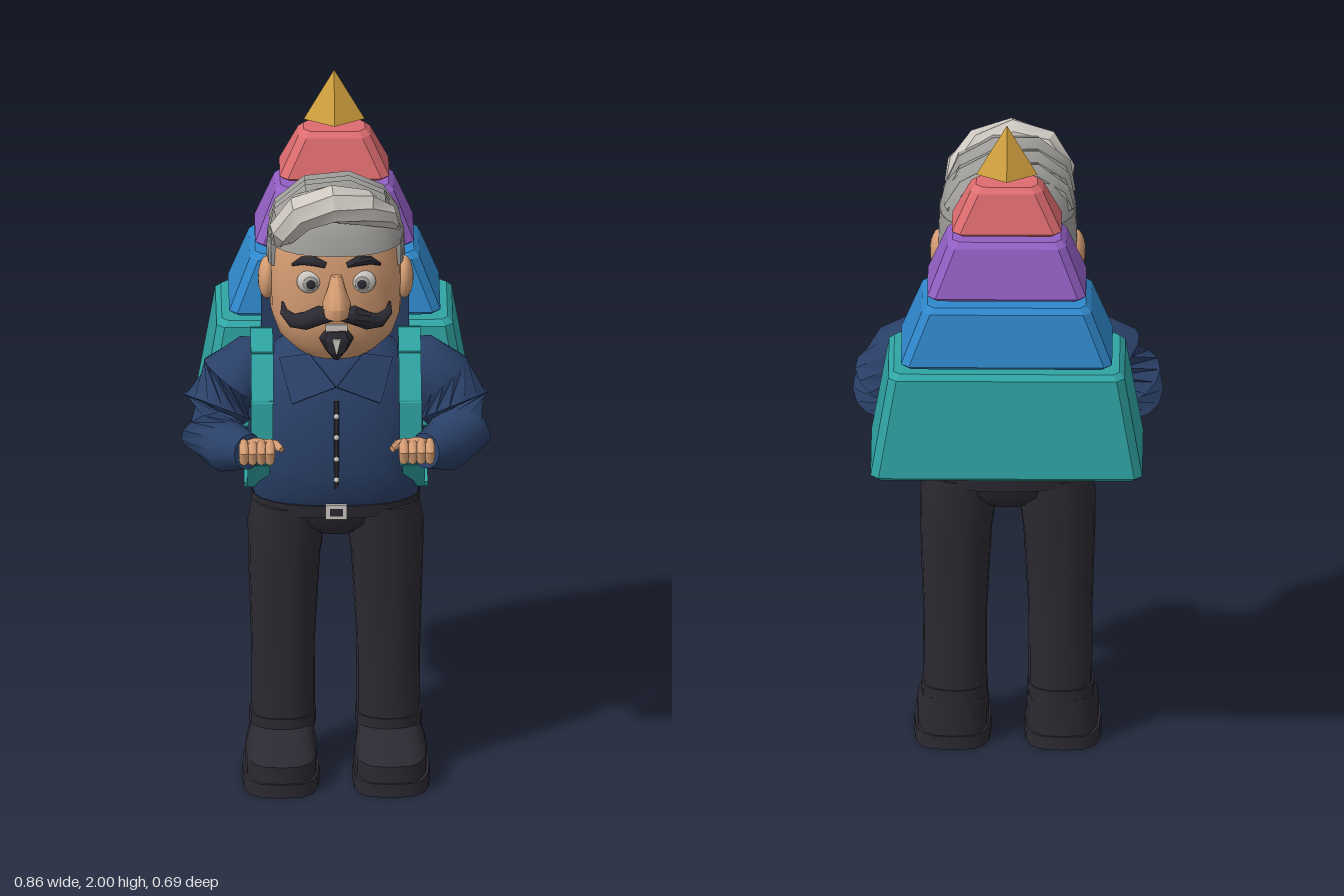
import * as THREE from 'three';
import { toCreasedNormals } from 'three/addons/utils/BufferGeometryUtils.js';

const mat = (name, color) => Object.assign(new THREE.MeshStandardMaterial({ color }), { name });
const M = {
  teal: mat('teal', 0x2fa5a4), blue: mat('blue', 0x2f88cc), purple: mat('purple', 0x925fc4),
  red: mat('coral', 0xdd6c70), gold: mat('gold', 0xd6a440), navy: mat('navy', 0x2a4068),
  dark: mat('charcoal', 0x2b2a32), skin: mat('skin', 0xd49c72),
  grey: mat('grey hair', 0x9c9b98), pale: mat('pale grey', 0xcdc7c0),
};
const V = (x, y, z) => new THREE.Vector3(x, y, z);
const FLAT = 0.15, SOFT = 0.9;

export function createModel() {
  const model = new THREE.Group();
  model.name = 'hikerWithPyramidPack';

  const add = (name, geo, material, x = 0, y = 0, z = 0) => {
    const mesh = new THREE.Mesh(geo, material);
    mesh.name = name;
    mesh.position.set(x, y, z);
    model.add(mesh);
    return mesh;
  };
  const box = (name, m, w, h, d, x, y, z) => add(name, new THREE.BoxGeometry(w, h, d), m, x, y, z);
  const ball = (name, m, rx, ry, rz, x, y, z) =>
    add(name, new THREE.SphereGeometry(1, 18, 12).scale(rx, ry, rz), m, x, y, z);

  // Joins rings of points into a capped skin
  const skin = (rings, crease = SOFT) => {
    const n = rings[0].length, pos = [], idx = [];
    rings.forEach(r => r.forEach(p => pos.push(p.x, p.y, p.z)));
    for (let i = 0; i < rings.length - 1; i++) {
      for (let j = 0; j < n; j++) {
        const a = i * n + j, b = i * n + (j + 1) % n, c = b + n, d = a + n;
        idx.push(a, d, c, a, c, b);
      }
    }
    [0, rings.length - 1].forEach(i => {
      const mid = rings[i].reduce((s, p) => s.add(p), V(0, 0, 0)).divideScalar(n);
      const k = pos.length / 3;
      pos.push(mid.x, mid.y, mid.z);
      for (let j = 0; j < n; j++) {
        const a = i * n + j, b = i * n + (j + 1) % n;
        if (i) idx.push(k, b, a); else idx.push(k, a, b);
      }
    });
    const g = new THREE.BufferGeometry();
    g.setAttribute('position', new THREE.Float32BufferAttribute(pos, 3));
    g.setIndex(idx);
    return toCreasedNormals(g, crease);
  };

  // Upright loft; each row is [y, halfX, halfZ, centreX, centreZ]
  const loft = (rows, { n = 24, p = 2.4, from = 0, to = Math.PI * 2, crease = SOFT } = {}) => {
    const open = to - from < 6.28;
    return skin(rows.map(([y, hx, hz, cx, cz]) => Array.from({ length: n }, (_, j) => {
      const a = from + (to - from) * j / (open ? n - 1 : n), c = Math.cos(a), s = Math.sin(a);
      return V(cx + hx * Math.sign(c) * Math.abs(c) ** (2 / p), y,
        cz + hz * Math.sign(s) * Math.abs(s) ** (2 / p));
    })), crease);
  };

  // Round sweep along points [x, y, z, radius]
  const limb = (pts, n = 12, crease = SOFT) => {
    const c = pts.map(q => V(q[0], q[1], q[2]));
    return skin(pts.map((q, i) => {
      const t = c[Math.min(i + 1, c.length - 1)].clone().sub(c[Math.max(i - 1, 0)]).normalize();
      const rot = new THREE.Quaternion().setFromUnitVectors(V(0, 1, 0), t);
      return Array.from({ length: n }, (_, j) => {
        const a = j / n * Math.PI * 2;
        return V(Math.cos(a) * q[3], 0, Math.sin(a) * q[3]).applyQuaternion(rot).add(c[i]);
      });
    }), crease);
  };
  const flip = (pts, s) => pts.map(([x, ...r]) => [x * s, ...r]);

  // Pyramid pack: bevelled tiers [name, material, y0, y1, x0, x1, z0, z1]
  const oct = (y, hx, hz, c) => [[hx, hz - c], [hx - c, hz], [c - hx, hz], [-hx, hz - c],
    [-hx, c - hz], [c - hx, -hz], [hx - c, -hz], [hx, c - hz]].map(([x, z]) => V(x, y, z - 0.175));
  [['tealTier', M.teal, 0.985, 1.3, 0.377, 0.328, 0.172, 0.152],
    ['blueTier', M.blue, 1.315, 1.49, 0.293, 0.235, 0.146, 0.122],
    ['purpleTier', M.purple, 1.51, 1.675, 0.22, 0.165, 0.116, 0.086],
    ['redTier', M.red, 1.695, 1.83, 0.152, 0.1, 0.086, 0.056],
  ].forEach(([name, m, y0, y1, x0, x1, z0, z1]) => add(name, skin([
    oct(y0, x0 - 0.01, z0 - 0.01, 0.02), oct(y0 + 0.01, x0, z0, 0.022),
    oct(y1 - 0.015, x1, z1, 0.022), oct(y1, x1 - 0.015, z1 - 0.015, 0.018)], FLAT), m));
  add('goldTip', toCreasedNormals(new THREE.ConeGeometry(1, 0.15, 4).scale(0.085, 1, 0.054), FLAT),
    M.gold, 0, 1.925, -0.175);
  box('packBoard', M.navy, 0.41, 0.45, 0.08, 0, 1.155, -0.06);

  // Shirt
  add('torso', loft([[0.84, 0.23, 0.125, 0, 0.085], [0.88, 0.24, 0.145, 0, 0.085],
    [0.96, 0.245, 0.162, 0, 0.083], [1.1, 0.24, 0.158, 0, 0.082], [1.22, 0.21, 0.13, 0, 0.08],
    [1.28, 0.17, 0.1, 0, 0.08], [1.32, 0.1, 0.07, 0, 0.075]]), M.navy);
  add('placket', limb([[0, 0.91, 0.23, 0.008], [0, 0.97, 0.242, 0.008], [0, 1.1, 0.238, 0.008],
    [0, 1.17, 0.22, 0.008]], 6), M.dark);
  [[0.94, 0.245], [1.005, 0.25], [1.07, 0.248], [1.13, 0.239]].forEach(([y, z]) =>
    ball('button', M.pale, 0.008, 0.008, 0.005, 0, y, z));

  // Trousers, belt and buckle
  add('hips', loft([[0.74, 0.07, 0.08, 0, 0.085], [0.78, 0.2, 0.11, 0, 0.085],
    [0.85, 0.228, 0.122, 0, 0.085]]), M.dark);
  add('belt', loft([[0.81, 0.234, 0.13, 0, 0.085], [0.848, 0.234, 0.135, 0, 0.085]]), M.dark);
  box('buckle', M.pale, 0.06, 0.042, 0.012, 0, 0.833, 0.22);
  box('buckleHole', M.dark, 0.036, 0.022, 0.008, 0, 0.833, 0.224);

  // Head and neck
  add('head', loft([[1.22, 0.085, 0.08, 0, 0.085], [1.27, 0.09, 0.085, 0, 0.085],
    [1.3, 0.12, 0.11, 0, 0.09], [1.34, 0.16, 0.138, 0, 0.088], [1.4, 0.181, 0.153, 0, 0.085],
    [1.5, 0.184, 0.155, 0, 0.085], [1.6, 0.18, 0.152, 0, 0.085], [1.7, 0.15, 0.13, 0, 0.08],
    [1.75, 0.08, 0.08, 0, 0.08]]), M.skin);
  add('nose', loft([[1.435, 0.015, 0.015, 0, 0.255], [1.45, 0.036, 0.045, 0, 0.262],
    [1.485, 0.04, 0.055, 0, 0.26], [1.52, 0.026, 0.04, 0, 0.25], [1.56, 0.014, 0.02, 0, 0.235]],
  { n: 14, p: 2 }), M.skin);
  box('teeth', M.pale, 0.06, 0.022, 0.008, 0, 1.4, 0.24);
  add('goatee', loft([[1.3, 0.008, 0.01, 0, 0.225], [1.33, 0.03, 0.028, 0, 0.232],
    [1.365, 0.048, 0.034, 0, 0.228], [1.392, 0.035, 0.025, 0, 0.228]],
  { n: 8, p: 2, crease: FLAT }), M.dark);
  const stripe = new THREE.Shape([[-0.012, 0.02], [0, -0.03], [0.012, 0.02]]
    .map(([x, y]) => new THREE.Vector2(x, y)));
  add('goateeStripe', new THREE.ExtrudeGeometry(stripe, { depth: 0.008, bevelEnabled: false }),
    M.pale, 0, 1.355, 0.258);

  // Cropped hair: crown, back of the head and temples
  const P = Math.PI;
  add('crown', loft([[1.62, 0.191, 0.164, 0, 0.085], [1.68, 0.178, 0.155, 0, 0.082],
    [1.73, 0.14, 0.125, 0, 0.08], [1.765, 0.07, 0.07, 0, 0.08]]), M.grey);
  add('backHair', loft([[1.4, 0.17, 0.145, 0, 0.08], [1.44, 0.189, 0.158, 0, 0.08],
    [1.54, 0.193, 0.162, 0, 0.082], [1.63, 0.19, 0.163, 0, 0.085]], { from: P, to: 2 * P }), M.grey);
  add('temples', loft([[1.55, 0.189, 0.16, 0, 0.083], [1.63, 0.19, 0.163, 0, 0.085]],
    { from: P - 0.35, to: 2 * P + 0.35 }), M.grey);

  // Swept locks, the front one pale
  add('frontLock', limb([[-0.155, 1.635, 0.17, 0.022], [-0.145, 1.68, 0.2, 0.044],
    [-0.095, 1.745, 0.222, 0.055], [-0.01, 1.772, 0.228, 0.056], [0.08, 1.752, 0.21, 0.05],
    [0.14, 1.71, 0.175, 0.035], [0.165, 1.67, 0.15, 0.012]], 8, 0.6), M.pale);
  for (let i = 0; i < 3; i++) {
    const z = 0.165 - i * 0.06, d = i * 0.013;
    add('sweptLock', limb([[-0.17, 1.64, z - 0.02, 0.02], [-0.14, 1.7 - d, z, 0.045],
      [-0.07, 1.75 - d, z, 0.055], [0.03, 1.755 - d, z - 0.01, 0.055],
      [0.11, 1.72 - d, z - 0.02, 0.048], [0.165, 1.65, z - 0.03, 0.02]], 8, 0.6), M.grey);
  }

  // Straps follow this path [x, y, z]
  const strapPath = [[0.205, 1.27, -0.03], [0.205, 1.3, 0.03], [0.205, 1.28, 0.15],
    [0.205, 1.17, 0.228], [0.208, 0.99, 0.235], [0.222, 0.885, 0.14], [0.226, 0.95, -0.03]];

  for (const s of [1, -1]) {
    // Face halves
    ball('ear', M.skin, 0.026, 0.062, 0.045, s * 0.19, 1.49, 0.092);
    ball('eye', M.pale, 0.035, 0.034, 0.02, s * 0.075, 1.535, 0.225);
    ball('iris', M.grey, 0.021, 0.021, 0.008, s * 0.072, 1.535, 0.241);
    ball('pupil', M.dark, 0.013, 0.013, 0.006, s * 0.071, 1.535, 0.247);
    add('eyebrow', limb(flip([[0.03, 1.59, 0.238, 0.009], [0.06, 1.602, 0.238, 0.014],
      [0.095, 1.6, 0.227, 0.012], [0.122, 1.58, 0.21, 0.004]], s), 8), M.dark);
    add('moustache', limb(flip([[0, 1.45, 0.262, 0.016], [0.045, 1.45, 0.262, 0.027],
      [0.085, 1.425, 0.245, 0.026], [0.12, 1.415, 0.222, 0.02], [0.145, 1.432, 0.198, 0.012],
      [0.148, 1.458, 0.188, 0.003]], s), 10), M.dark);

    // Collar flap
    const flap = new THREE.Shape([[0, -0.01], [0.075, 0.085], [0.16, 0.075], [0.125, -0.055]]
      .map(([x, y]) => new THREE.Vector2(x * s, y)));
    add('collar', new THREE.ExtrudeGeometry(flap, { depth: 0.009, bevelEnabled: false }),
      M.navy, 0, 1.22, 0.217).rotation.set(-0.46, s * 0.22, 0);

    // Sleeve and cuff
    add('sleeve', limb(flip([[0.17, 1.23, 0.07, 0.06], [0.23, 1.225, 0.075, 0.08],
      [0.29, 1.175, 0.085, 0.096], [0.33, 1.1, 0.1, 0.1], [0.345, 1.045, 0.145, 0.088],
      [0.3, 1.03, 0.215, 0.074], [0.245, 1.045, 0.285, 0.05]], s), 14), M.navy);

    // Hand with curled fingers and thumb
    ball('palm', M.skin, 0.042, 0.028, 0.035, s * 0.222, 1.06, 0.295);
    for (let i = 0; i < 4; i++) {
      const x = s * (0.186 + i * 0.024);
      add('finger', limb([[x, 1.075, 0.29, 0.012], [x, 1.078, 0.318, 0.014],
        [x, 1.062, 0.333, 0.014], [x, 1.036, 0.328, 0.013], [x, 1.028, 0.305, 0.009]], 8), M.skin);
    }
    add('thumb', limb(flip([[0.2, 1.07, 0.29, 0.015], [0.17, 1.075, 0.305, 0.014],
      [0.153, 1.07, 0.328, 0.009]], s), 8), M.skin);

    // Strap segments
    const path = flip(strapPath, s).map(q => V(...q));
    for (let i = 0; i < path.length - 1; i++) {
      const a = path[i], b = path[i + 1], d = b.clone().sub(a);
      const mid = a.clone().add(b).multiplyScalar(0.5);
      box('strap', M.teal, 0.062, 0.018, d.length() + 0.012, mid.x, mid.y, mid.z)
        .rotation.x = Math.atan2(-d.y, d.z);
    }

    // Leg, trouser cuff and shoe
    add('trouserLeg', loft([[0.14, 0.088, 0.086, s * 0.146, 0.083], [0.4, 0.089, 0.092, s * 0.146, 0.085],
      [0.65, 0.1, 0.108, s * 0.143, 0.086], [0.76, 0.108, 0.117, s * 0.136, 0.086],
      [0.83, 0.1, 0.118, s * 0.13, 0.086]], { n: 18 }), M.dark);
    add('trouserCuff', loft([[0.14, 0.092, 0.09, s * 0.147, 0.083],
      [0.18, 0.093, 0.091, s * 0.147, 0.083]], { n: 18 }), M.dark);
    add('sole', loft([[0, 0.108, 0.158, s * 0.153, 0.148], [0.04, 0.106, 0.158, s * 0.153, 0.148]],
      { n: 16, p: 3.2 }), M.dark);
    add('shoe', loft([[0.04, 0.1, 0.153, s * 0.152, 0.147], [0.09, 0.1, 0.153, s * 0.152, 0.147],
      [0.125, 0.09, 0.115, s * 0.15, 0.11], [0.15, 0.085, 0.09, s * 0.148, 0.085]],
    { n: 16, p: 3, crease: 0.6 }), M.dark);
  }
  return model;
}
